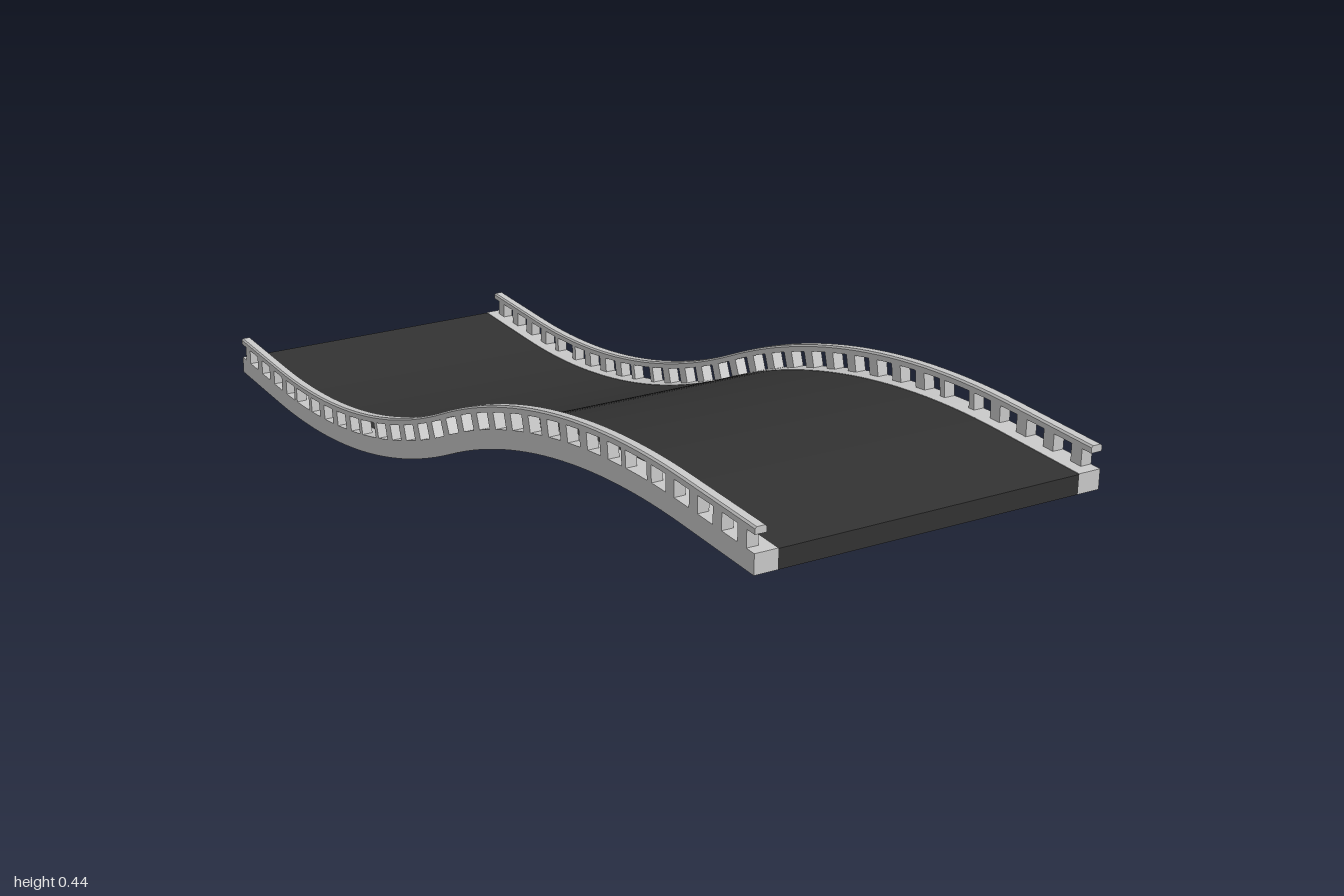
import * as THREE from 'three';
import { mergeGeometries, toCreasedNormals } from 'three/addons/utils/BufferGeometryUtils.js';

// S-shaped path: short level run, arc down, arc back, short level run
const FLAT = 0.2, HALF = 0.8, RISE = 0.37, MID = 0.0375;
const R = (HALF ** 2 + (RISE / 2) ** 2) / RISE;
const ARC = R * Math.asin(HALF / R);
const TOTAL = 2 * (FLAT + ARC);

// Position and slope angle at distance s from the high front end
function pathAt(s) {
  if (s > TOTAL / 2) {
    const m = pathAt(TOTAL - s);
    return { z: -m.z, y: RISE + 2 * MID - m.y, a: m.a };
  }
  if (s <= FLAT) return { z: 1 - s, y: RISE + MID, a: 0 };
  const a = (s - FLAT) / R;
  return { z: HALF - R * Math.sin(a), y: RISE + MID - R * (1 - Math.cos(a)), a };
}

// Sweep a convex section of [x, height] corners (anticlockwise) along the path
function sweep(section, s0, s1, steps) {
  const pos = [];
  const ring = (s) => {
    const { z, y, a } = pathAt(s);
    return section.map(([x, h]) => [x, y + (h - MID) * Math.cos(a), z - (h - MID) * Math.sin(a)]);
  };
  const tri = (a, b, c) => pos.push(...a, ...b, ...c);
  const n = section.length;
  const first = ring(s0), last = ring(s1);
  let prev = first;
  for (let i = 1; i <= steps; i++) {
    const next = ring(s0 + ((s1 - s0) * i) / steps);
    for (let j = 0; j < n; j++) {
      const k = (j + 1) % n;
      tri(prev[j], next[k], prev[k]);
      tri(prev[j], next[j], next[k]);
    }
    prev = next;
  }
  for (let j = 1; j < n - 1; j++) {
    tri(first[0], first[j], first[j + 1]);
    tri(last[0], last[j + 1], last[j]);
  }
  const geo = new THREE.BufferGeometry();
  geo.setAttribute('position', new THREE.Float32BufferAttribute(pos, 3));
  return toCreasedNormals(geo, 0.4);
}

const rect = (x0, x1, h0, h1) => [[x0, h0], [x1, h0], [x1, h1], [x0, h1]];
const mirror = (section) => section.map(([x, h]) => [-x, h]).reverse();

export function createModel() {
  const model = new THREE.Group();
  model.name = 'curvedRamp';
  const grey = new THREE.MeshStandardMaterial({ color: 0xcccccc });
  const black = new THREE.MeshStandardMaterial({ color: 0x333333 });
  const add = (parent, name, geo, material) => {
    const mesh = new THREE.Mesh(geo, material);
    mesh.name = name;
    parent.add(mesh);
  };

  // Dark running surface
  add(model, 'deck', sweep(rect(-0.268, 0.268, 0, 0.033), 0, TOTAL, 64), black);

  // Side frames
  const base = rect(0.268, 0.308, 0, 0.034);
  const post = rect(0.288, 0.308, 0.033, 0.065);
  const bar = [[0.288, 0.063], [0.308, 0.063], [0.308, 0.072], [0.305, 0.075], [0.291, 0.075], [0.288, 0.072]];

  // Posts stand between evenly spaced windows, a few of which are wider
  const COUNT = 31, PITCH = TOTAL / COUNT;
  const halfWindow = (i) => ([5, 21, 26].includes(i) ? 0.032 : 0.021);

  for (const [side, shape] of [['left', (s) => s], ['right', mirror]]) {
    const frame = new THREE.Group();
    frame.name = side + 'Frame';
    add(frame, 'sideBeam', sweep(shape(base), 0, TOTAL, 64), grey);
    add(frame, 'topRail', sweep(shape(bar), 0, TOTAL, 64), grey);
    const posts = [];
    for (let i = 0; i < COUNT; i++) {
      posts.push(sweep(shape(post), i * PITCH + halfWindow(i), (i + 1) * PITCH - halfWindow(i + 1), 1));
    }
    add(frame, 'railPosts', mergeGeometries(posts), grey);
    model.add(frame);
  }
  return model;
}
